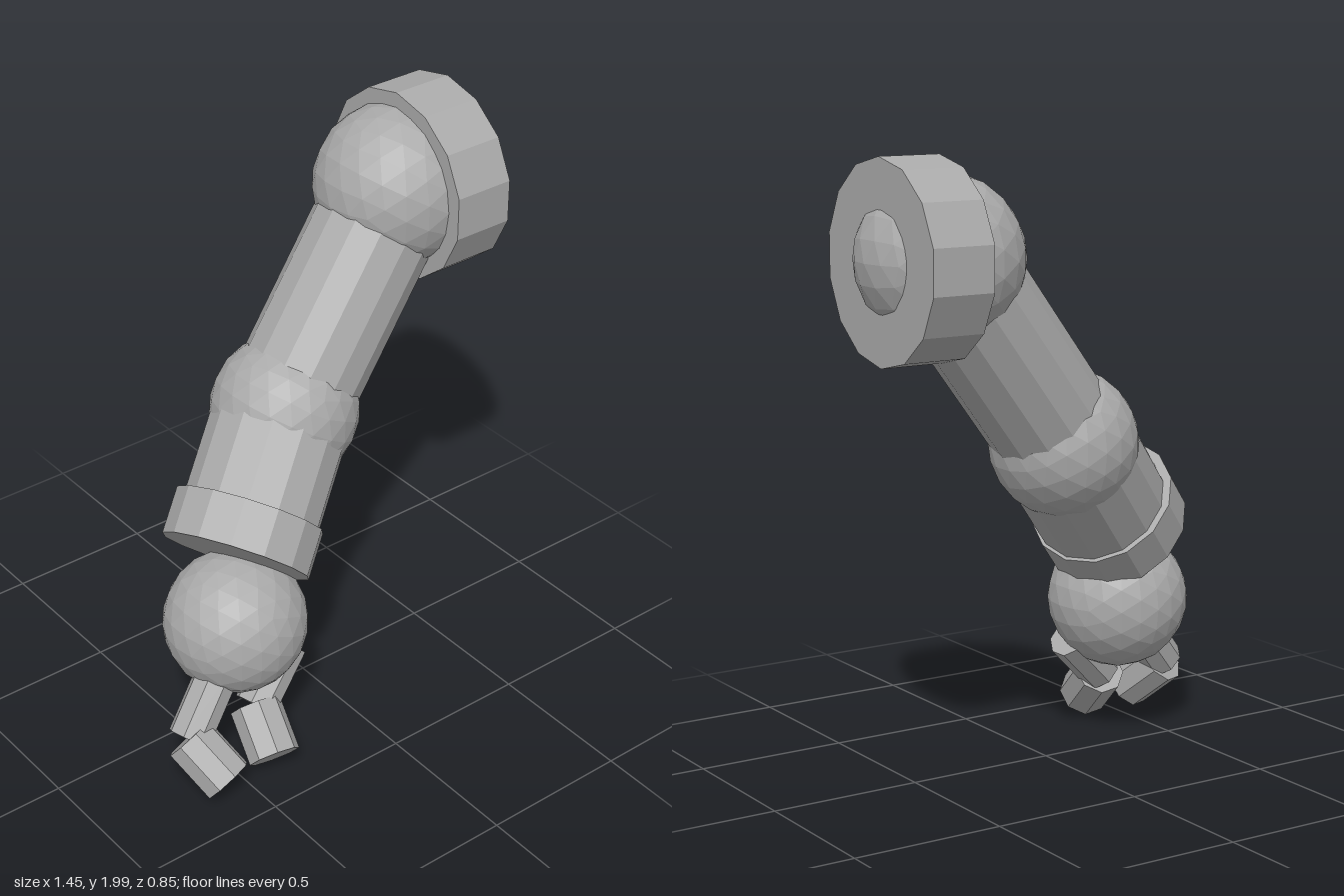
import * as THREE from 'three';

export function createModel() {
  const group = new THREE.Group();
  const grey = new THREE.MeshStandardMaterial({ color: 0xaaaaaa, flatShading: true });
  grey.name = 'grey';

  function add(name, geometry, position) {
    const mesh = new THREE.Mesh(geometry, grey);
    mesh.name = name;
    mesh.position.copy(position);
    group.add(mesh);
    return mesh;
  }

  const ball = (name, centre, r) => add(name, new THREE.IcosahedronGeometry(r, 3), centre);

  // Closed prism running between two points
  function rod(name, from, to, r, sides) {
    const axis = to.clone().sub(from);
    const mesh = add(name, new THREE.CylinderGeometry(r, r, axis.length(), sides),
      from.clone().add(to).multiplyScalar(0.5));
    mesh.quaternion.setFromUnitVectors(new THREE.Vector3(0, 1, 0), axis.normalize());
    return mesh;
  }

  const v = (x, y, z) => new THREE.Vector3(x, y, z);
  const shoulder = v(0.46, 1.685, -0.114);
  const elbow = v(-0.035, 1.06, -0.05);
  const wrist = v(-0.373, 0.47, 0.125);

  // Joints
  ball('shoulderJoint', shoulder, 0.265);
  ball('elbowJoint', elbow, 0.243);
  ball('wristJoint', wrist, 0.236);

  // Shoulder disc, with one corner straight up
  const disc = new THREE.CylinderGeometry(0.318, 0.318, 0.21, 14);
  disc.rotateZ(Math.PI / 2);
  disc.rotateX(Math.PI / 2);
  add('shoulderDisc', disc, v(0.565, 1.682, -0.114));

  // Arm
  rod('upperArm', shoulder, elbow, 0.203, 14);
  const axis = v(-0.635, -0.694, 0.337).normalize();
  const along = (d) => elbow.clone().addScaledVector(axis, d);
  rod('forearm', elbow, along(0.45), 0.225, 14);

  // Cuff, set slightly off the forearm's axis
  const shift = v(-0.74, 0.67, 0).multiplyScalar(0.01);
  rod('cuff', along(0.35).add(shift), along(0.505).add(shift), 0.246, 14);

  // Two bent fingers: root, knuckle and tip
  const fingers = {
    right: [v(-0.48, 0.37, 0.185), v(-0.64, 0.185, 0.23), v(-0.587, 0.07, 0.365)],
    left: [v(-0.215, 0.335, 0.185), v(-0.375, 0.185, 0.23), v(-0.4, 0.07, 0.365)],
  };
  for (const [side, [root, knuckle, tip]] of Object.entries(fingers)) {
    rod(side + 'FingerBase', root, knuckle, 0.072, 8);
    rod(side + 'FingerTip', knuckle, tip, 0.086, 8);
  }

  return group;
}
